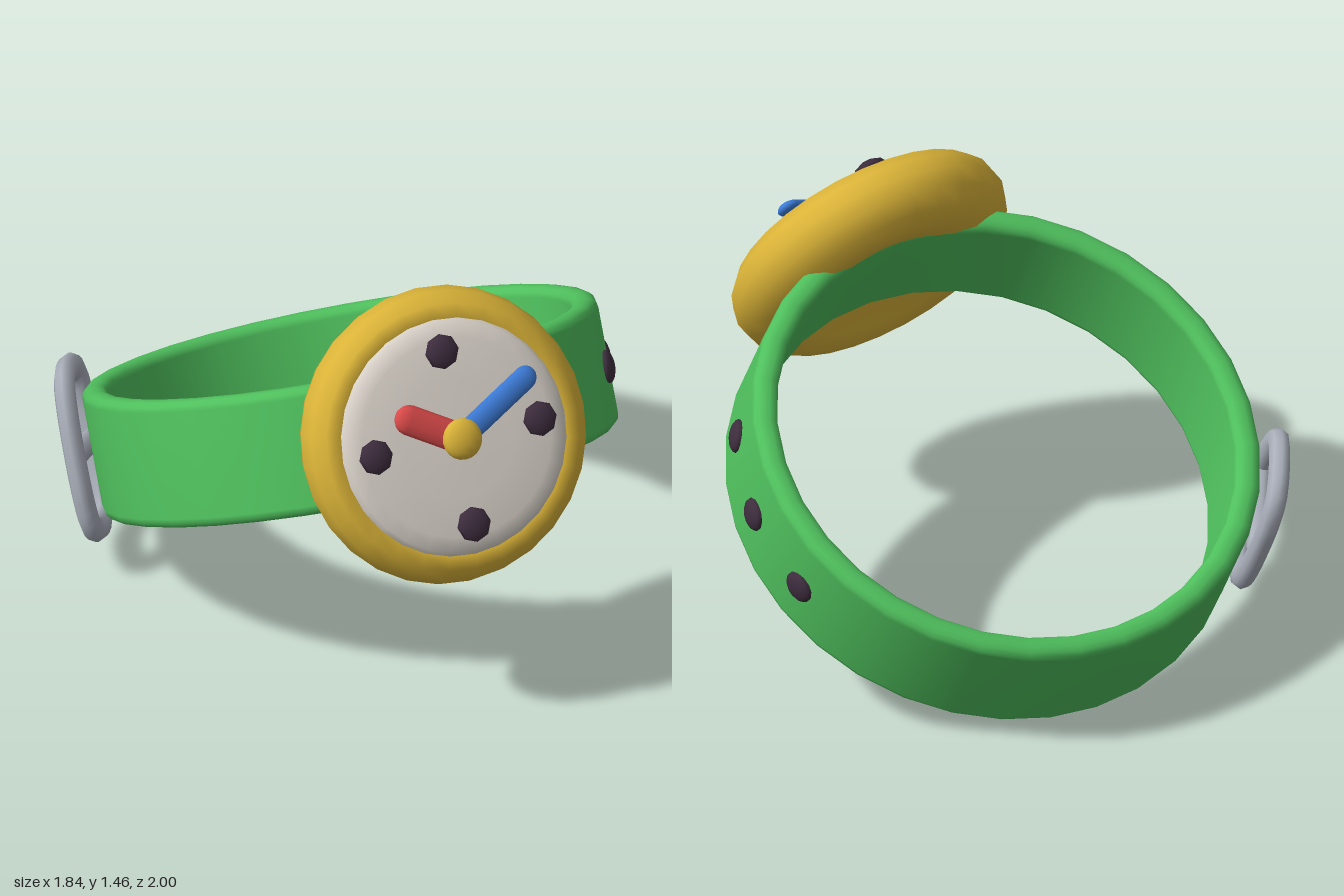
import * as THREE from 'three';

const mat = (name, color) => {
  const m = new THREE.MeshStandardMaterial({ color });
  m.name = name;
  return m;
};

export function createModel() {
  const green = mat('strap green', 0x4fc05d);
  const gold = mat('case gold', 0xdab338);
  const cream = mat('dial cream', 0xddd6cd);
  const red = mat('hand red', 0xdb4a4a);
  const blue = mat('hand blue', 0x3d7cd8);
  const dark = mat('stud plum', 0x3e2d3e);
  const grey = mat('buckle grey', 0xa9aeb9);

  const model = new THREE.Group();
  model.name = 'wristWatch';
  // Everything is built upright, then the whole watch leans back
  const watch = new THREE.Group();
  watch.name = 'tiltedWatch';
  watch.rotation.x = THREE.MathUtils.degToRad(-28);
  model.add(watch);

  const add = (name, geo, material, x, y, z, parent = watch) => {
    const mesh = new THREE.Mesh(geo, material);
    mesh.name = name;
    mesh.position.set(x, y, z);
    parent.add(mesh);
    return mesh;
  };
  const v2 = (list) => list.map(([x, y]) => new THREE.Vector2(x, y));

  const cy = 0.585, cz = 0.19; // strap centre

  // Strap: ring with a rounded rectangular section
  const section = [new THREE.Vector2(0.887, 0)];
  const corner = 0.035;
  [[0.852, 0.185], [0.833, 0.185], [0.833, -0.185], [0.852, -0.185]].forEach(([r, y], i) => {
    for (let k = 0; k <= 3; k++) {
      const a = (i + k / 3) * Math.PI / 2;
      section.push(new THREE.Vector2(r + corner * Math.cos(a), y + corner * Math.sin(a)));
    }
  });
  section.push(new THREE.Vector2(0.887, 0));
  add('strap', new THREE.LatheGeometry(section, 32), green, 0, cy, cz);

  // Case and dial, turned about the forward axis
  const turned = (pts) => new THREE.LatheGeometry(v2(pts), 28).rotateX(Math.PI / 2);
  const dialY = 0.557;
  add('case', turned([[0, 1.03], [0.2, 1.0], [0.3, 0.96], [0.37, 0.95], [0.44, 0.975], [0.49, 1.03],
    [0.508, 1.09], [0.495, 1.15], [0.455, 1.195], [0.41, 1.205], [0.36, 1.18]]), gold, 0, dialY, 0);
  add('dial', turned([[0.412, 1.16], [0.412, 1.195], [0.39, 1.22], [0.34, 1.235], [0.2, 1.243], [0, 1.247]]),
    cream, 0, dialY, 0);

  // Hour studs
  for (let i = 0; i < 4; i++) {
    const a = i * Math.PI / 2;
    add('hourStud', new THREE.SphereGeometry(0.061, 8, 6).rotateX(Math.PI / 2).scale(1, 1, 0.5), dark,
      0.3 * Math.cos(a), dialY + 0.3 * Math.sin(a), 1.245);
  }

  // Hands: flattened capsules from the centre to (dx, dy)
  const hand = (name, material, dx, dy, radius, z) => {
    const len = Math.hypot(dx, dy);
    const geo = new THREE.CapsuleGeometry(radius, len, 4, 10).translate(0, len / 2, 0).scale(1, 1, 0.5);
    add(name, geo, material, 0, dialY, z).rotation.z = Math.atan2(-dx, dy);
  };
  hand('hourHand', red, -0.165, 0.1, 0.052, 1.258);
  hand('minuteHand', blue, 0.265, 0.152, 0.042, 1.272);
  add('handHub', new THREE.SphereGeometry(0.071, 14, 10).scale(1, 1, 0.5), gold, 0, dialY, 1.29);

  // Strap holes along the left side
  for (const deg of [27, 7, -13]) {
    const a = THREE.MathUtils.degToRad(deg);
    const geo = new THREE.SphereGeometry(0.058, 12, 8).rotateX(Math.PI / 2).scale(1, 1, 0.45);
    add('strapHole', geo, dark, 0.887 * Math.cos(a), cy - 0.01, cz + 0.887 * Math.sin(a)).rotation.y = Math.PI / 2 - a;
  }

  // Buckle: rounded frame with a crossbar on the right side towards the back
  const buckle = new THREE.Group();
  buckle.name = 'buckle';
  const dir = THREE.MathUtils.degToRad(30);
  buckle.position.set(-0.93 * Math.cos(dir), cy, cz - 0.93 * Math.sin(dir));
  buckle.rotation.y = Math.atan2(-Math.cos(dir), -Math.sin(dir));
  watch.add(buckle);
  const w = 0.16, h = 0.258;
  const outline = [[w, -h * 0.6], [w, h * 0.6], [w * 0.65, h], [-w * 0.65, h],
    [-w, h * 0.6], [-w, -h * 0.6], [-w * 0.65, -h], [w * 0.65, -h]].map(([x, y]) => new THREE.Vector3(x, y, 0));
  const path = new THREE.CatmullRomCurve3(outline, true, 'centripetal');
  add('buckleFrame', new THREE.TubeGeometry(path, 40, 0.046, 8, true).scale(1, 1, 0.8), grey, 0, 0, 0, buckle);
  add('buckleBar', new THREE.CapsuleGeometry(0.04, 2 * w, 3, 8).rotateZ(Math.PI / 2), grey, 0, 0, 0, buckle);

  return model;
}
